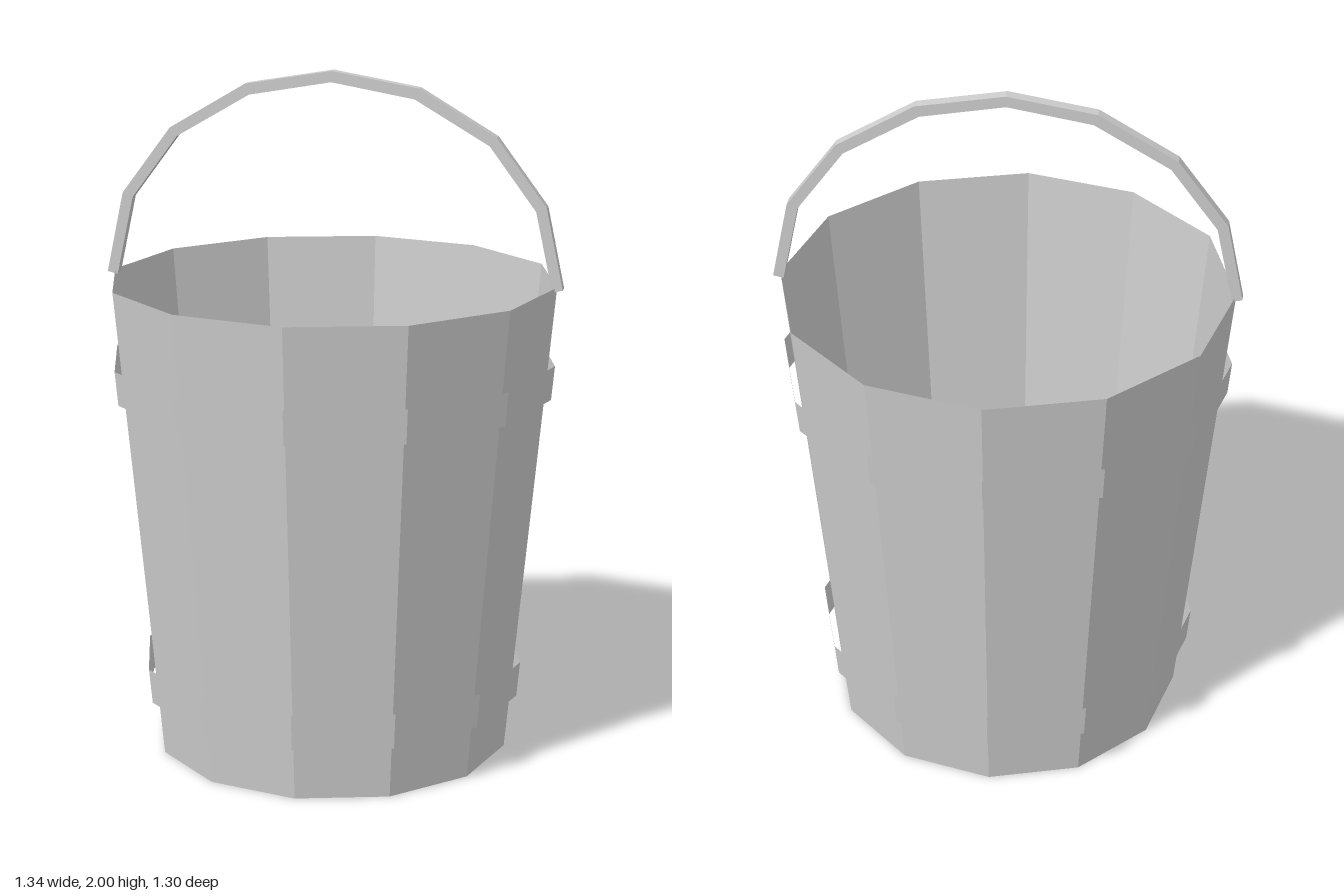
import * as THREE from 'three';

const SIDES = 12;
const HEIGHT = 1.4;

export function createModel() {
  const bucket = new THREE.Group();
  bucket.name = 'bucket';
  const grey = new THREE.MeshStandardMaterial({ color: 0xcccccc, flatShading: true, side: THREE.DoubleSide });
  grey.name = 'grey';

  const add = (name, geometry, y = 0) => {
    const mesh = new THREE.Mesh(geometry, grey);
    mesh.name = name;
    mesh.position.y = y;
    bucket.add(mesh);
    return mesh;
  };

  // Open, tapered wall made of flat staves
  const wallRadius = (y) => 0.522 + (0.652 - 0.522) * y / HEIGHT;
  const ring = (y0, y1, offset) => new THREE.CylinderGeometry(
    wallRadius(y1) + offset, wallRadius(y0) + offset, y1 - y0, SIDES, 1, true);
  add('wall', ring(0, HEIGHT, 0), HEIGHT / 2);

  // Base, with a slightly smaller floor plate inside
  add('base', new THREE.CircleGeometry(wallRadius(0), SIDES).rotateX(Math.PI / 2));
  add('floorPlate', new THREE.CircleGeometry(0.48, SIDES).rotateX(-Math.PI / 2), 0.01);

  // Two open hoops standing just clear of the wall
  for (const [name, y0, y1] of [['lowerHoop', 0.16, 0.265], ['upperHoop', 1.07, 1.17]]) {
    add(name, ring(y0, y1, 0.02), (y0 + y1) / 2);
  }

  // Square-section handle: half outlines mirrored into a faceted arch
  const outer = [[0.67, 1.395], [0.62, 1.63], [0.475, 1.825], [0.252, 1.957], [0, 2]];
  const inner = [[0.64, 1.388], [0.59, 1.618], [0.455, 1.8], [0.24, 1.926], [0, 1.968]];
  const arch = (half) => [...half, ...half.slice(0, -1).reverse().map(([x, y]) => [-x, y])];
  const outline = [...arch(outer), ...arch(inner).reverse()].map(([x, y]) => new THREE.Vector2(x, y));
  const thickness = 0.034;
  const handle = new THREE.ExtrudeGeometry(new THREE.Shape(outline), { depth: thickness, bevelEnabled: false });
  add('handle', handle.translate(0, 0, -thickness / 2));

  return bucket;
}
